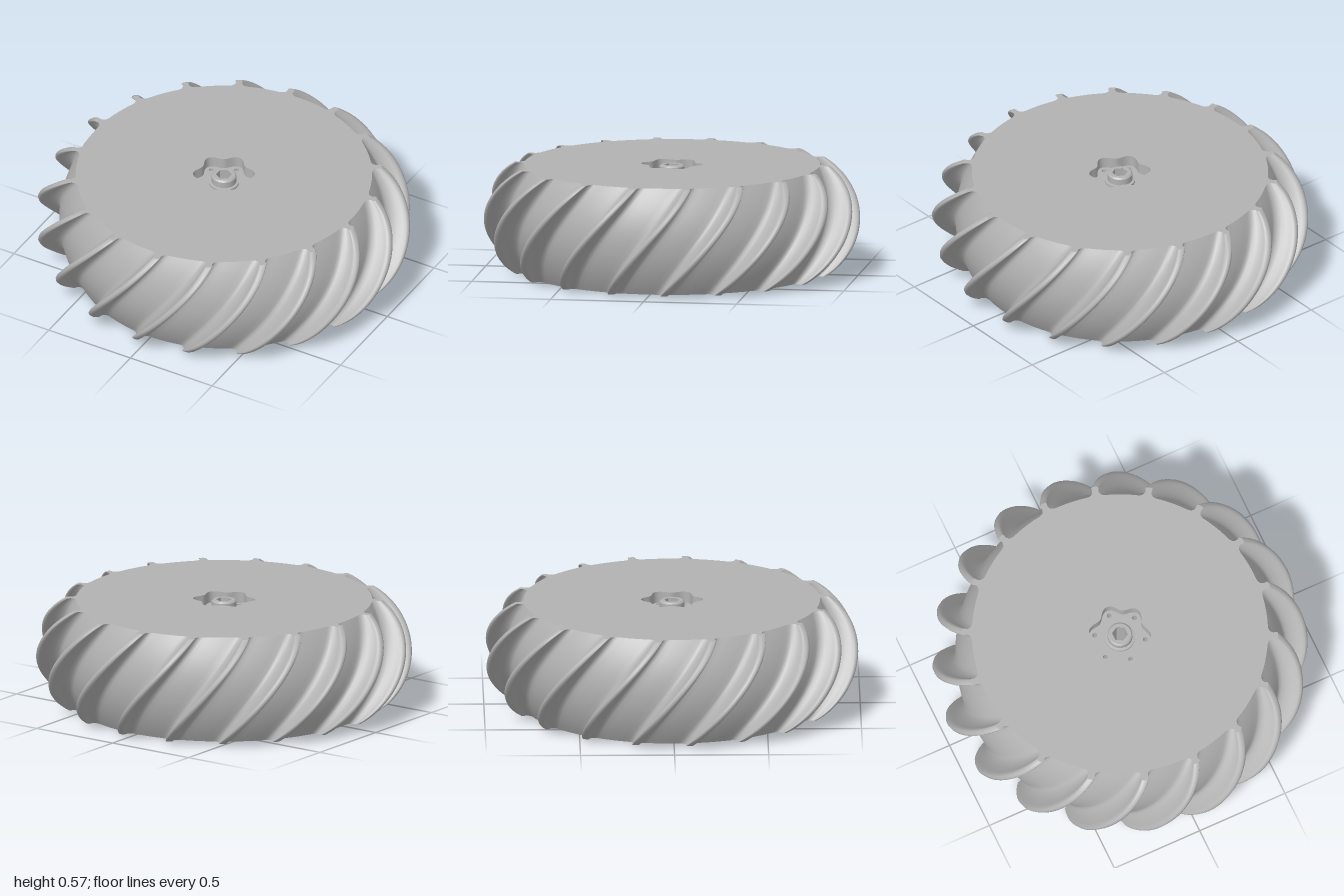
import * as THREE from 'three';

const RIBS = 18, Y0 = 0.003, Y1 = 0.575, ROWS = 32, DEPTH = 0.06;
const TWIST = THREE.MathUtils.degToRad(28.5);

// Skin through closed rings stacked upwards; inward flips the facing.
function loft(rings, inward = false) {
  const n = rings[0].length, pos = [], idx = [];
  rings.forEach(r => r.forEach(p => pos.push(p.x, p.y, p.z)));
  for (let j = 0; j < rings.length - 1; j++) {
    for (let i = 0; i < n; i++) {
      const a = j * n + i, b = j * n + (i + 1) % n, c = b + n, d = a + n;
      if (inward) idx.push(a, c, b, a, d, c);
      else idx.push(a, b, c, a, c, d);
    }
  }
  const g = new THREE.BufferGeometry();
  g.setAttribute('position', new THREE.Float32BufferAttribute(pos, 3));
  g.setIndex(idx);
  g.computeVertexNormals();
  return g;
}

// Point from the angle (0 at the front, rising towards +x), radius and height.
const polar = (a, r, y) => new THREE.Vector3(r * Math.sin(a), y, r * Math.cos(a));

// Closed ring whose radius follows a rule; cx and cz shift its centre.
function ring(n, radius, y, cx = 0, cz = 0) {
  return Array.from({ length: n }, (_, i) => {
    const a = i / n * Math.PI * 2;
    const p = polar(a, typeof radius === 'number' ? radius : radius(a), y);
    p.x += cx;
    p.z += cz;
    return p;
  });
}

// Flat face bounded by rings, looking up or down.
function face(outline, holes, y, up) {
  const flat = r => r.map(p => new THREE.Vector2(p.x, up ? -p.z : p.z));
  const s = new THREE.Shape(flat(outline));
  holes.forEach(h => s.holes.push(new THREE.Path(flat(h))));
  const g = new THREE.ShapeGeometry(s);
  g.rotateX(up ? -Math.PI / 2 : Math.PI / 2);
  g.translate(0, y, 0);
  return g;
}

// One tread period: sideways offset and share of the rib height.
const half = [[0.062, 0], [0.045, 0.03], [0.032, 0.12], [0.023, 0.28], [0.018, 0.5],
  [0.02, 0.72], [0.021, 0.86], [0.015, 0.96]];
const profile = [
  ...half.map(([t, h]) => [-t, h]), [0, 1],
  ...half.slice().reverse(),
  [0.095, 0], [0.125, 0], [0.157, 0], [0.189, 0], [0.219, 0],
];

// Cross-section of the ribbed tyre at share v of its height.
function treadRing(v) {
  const s = 2 * v - 1, y = Y0 + (Y1 - Y0) * v;
  const R = 0.337;
  const tip = 1 - R + Math.sqrt(R * R - (0.286 * s) ** 2);
  const base = 0.875 - 0.088 * s * s;
  const pts = [];
  for (let k = 0; k < RIBS; k++) {
    const mid = (k + 0.5) / RIBS * Math.PI * 2 + TWIST * s / 2;
    profile.forEach(([t, h]) => pts.push(polar(mid + t / 0.9, base + h * (tip - base), y)));
  }
  return pts;
}

export function createModel() {
  const model = new THREE.Group();
  model.name = 'ribbedWheel';
  const grey = new THREE.MeshStandardMaterial({ color: 0xb2b2b2 });
  grey.name = 'plain grey';
  const add = (name, geometry, parent = model) => {
    const m = new THREE.Mesh(geometry, grey);
    m.name = name;
    parent.add(m);
    return m;
  };

  // Tyre with slanted ribs
  const rings = Array.from({ length: ROWS + 1 }, (_, j) => treadRing(j / ROWS));
  add('ribbedTread', loft(rings));

  // Hub openings
  const pocket = y => ring(96, a => 0.1475 + 0.0175 * Math.cos(6 * a), y);
  const boreAt = (k, y) => {
    const a = k * Math.PI / 3;
    return ring(16, 0.013, y, 0.135 * Math.sin(a), 0.135 * Math.cos(a));
  };
  const low = Y0 + DEPTH, high = Y1 - DEPTH;

  for (const up of [true, false]) {
    const side = new THREE.Group();
    side.name = up ? 'topSide' : 'bottomSide';
    model.add(side);
    const edge = up ? Y1 : Y0, floor = up ? high : low;

    // Side disc and its star-shaped recess
    add('sideDisc', face(rings[up ? ROWS : 0], [pocket(edge)], edge, up), side);
    add('recessWall', loft([pocket(Math.min(edge, floor)), pocket(Math.max(edge, floor))], true), side);
    const bores = Array.from({ length: 6 }, (_, k) => boreAt(k, floor));
    add('recessFloor', face(pocket(floor), [ring(48, 0.08, floor), ...bores], floor, up), side);

    // Stepped hub boss
    const lip = up ? Y1 - 0.003 : 0, dir = up ? 1 : -1;
    const steps = [[0.08, floor], [0.08, floor + dir * 0.012], [0.066, floor + dir * 0.014],
      [0.066, lip - dir * 0.008], [0.058, lip]];
    for (let i = 0; i < steps.length - 1; i++) {
      const pair = [steps[i], steps[i + 1]];
      if (!up) pair.reverse();
      add('hubBoss', loft(pair.map(([r, y]) => ring(48, r, y))), side);
    }
    add('hubEnd', face(ring(48, 0.058, lip), [ring(6, 0.042, lip)], lip, up), side);
  }

  // Through holes: hexagonal axle bore and six screw bores
  const hex = loft([ring(6, 0.042, 0), ring(6, 0.042, Y1 - 0.003)], true).toNonIndexed();
  hex.computeVertexNormals();
  add('axleBore', hex);
  for (let k = 0; k < 6; k++) add('screwBore', loft([boreAt(k, low), boreAt(k, high)], true));

  return model;
}
